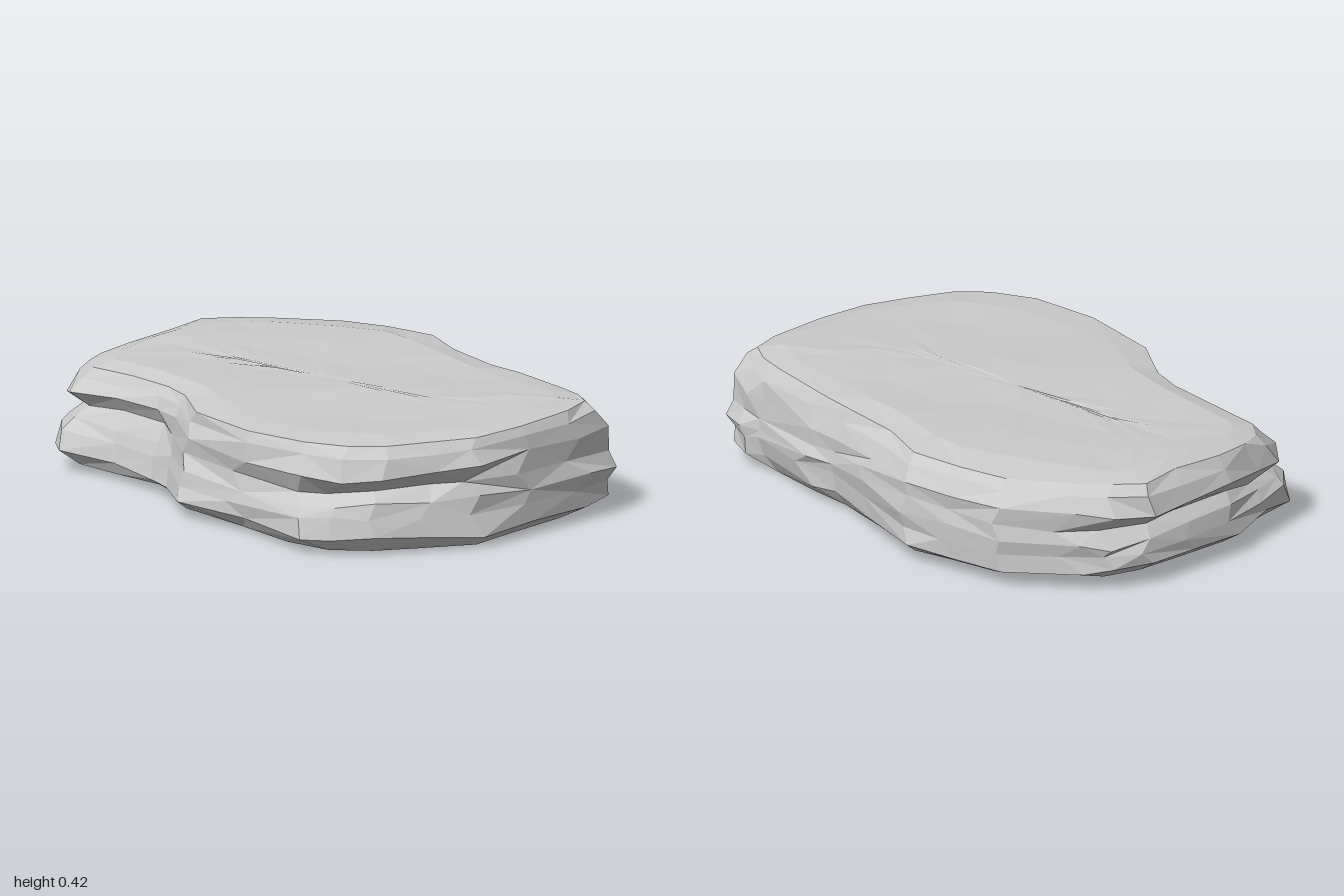
import * as THREE from 'three';

// Widest outline (low ledge) and top rim, matched point by point as [x, z]: left, back, right, front
const ledge = [
  [-1, 0.06], [-0.98, -0.15], [-0.95, -0.36], [-0.88, -0.51], [-0.8, -0.58], [-0.53, -0.73], [-0.33, -0.75],
  [-0.13, -0.77], [0.13, -0.67], [0.38, -0.57], [0.49, -0.56], [0.8, -0.46], [0.87, -0.47], [0.98, -0.42],
  [1, -0.26], [0.98, 0.02], [0.96, 0.27], [0.88, 0.42], [0.74, 0.62], [0.62, 0.72], [0.52, 0.77], [0.2, 0.7],
  [-0.13, 0.68], [-0.3, 0.54], [-0.42, 0.48], [-0.62, 0.45], [-0.85, 0.49], [-0.94, 0.4], [-0.96, 0.25],
];
const rim = [
  [-0.94, 0.03], [-0.92, -0.18], [-0.92, -0.36], [-0.84, -0.46], [-0.74, -0.53], [-0.52, -0.66], [-0.33, -0.69],
  [-0.12, -0.71], [0.06, -0.61], [0.3, -0.54], [0.45, -0.52], [0.74, -0.44], [0.85, -0.4], [0.92, -0.34],
  [0.95, -0.22], [0.94, 0.02], [0.92, 0.24], [0.84, 0.38], [0.74, 0.54], [0.65, 0.63], [0.48, 0.69], [0.24, 0.7],
  [-0.11, 0.61], [-0.28, 0.46], [-0.4, 0.41], [-0.6, 0.37], [-0.83, 0.34], [-0.91, 0.28], [-0.93, 0.18],
];

// Wall layers: height, blend from ledge to rim at the back and at the front, scale,
// depth of the groove, height jitter, inward jitter, sideways stagger
const walls = [
  { y: 0.015, back: 0.5, front: 0.1, scale: 0.95, groove: 0, bump: 0.006, dent: 0.03, shift: 0.3 },
  { y: 0.06, back: 0.2, front: 0, scale: 0.995, groove: 0, bump: 0.018, dent: 0.012, shift: 0 },
  { y: 0.12, back: 0.1, front: 0.15, scale: 1, groove: 0, bump: 0.022, dent: 0.025, shift: 0.35 },
  { y: 0.17, back: 0, front: 0.35, scale: 1, groove: 0.01, bump: 0.022, dent: 0.02, shift: 0.15 },
  { y: 0.22, back: 0.1, front: 0.5, scale: 1, groove: 0.045, bump: 0.022, dent: 0.03, shift: 0.4 },
  { y: 0.28, back: 0.2, front: 0.55, scale: 1, groove: -0.02, bump: 0.022, dent: 0.025, shift: 0.1 },
  { y: 0.34, back: 0.65, front: 0.85, scale: 1, groove: -0.01, bump: 0.014, dent: 0.02, shift: 0.3 },
  { y: 0.38, back: 1, front: 1, scale: 0.985, groove: 0, bump: 0.006, dent: 0.02, shift: 0.1 },
];

// Top face rings, drawn in toward a long middle line: x scale, z scale
const topRings = [[0.9, 0.82], [0.78, 0.52], [0.66, 0.24], [0.5, 0.04]];

function seeded(seed) {
  return () => {
    seed = (seed * 16807) % 2147483647;
    return seed / 2147483647;
  };
}

// Point on an outline, a fraction of the way from corner i to the next
function along(outline, i, t) {
  const [x0, z0] = outline[i];
  const [x1, z1] = outline[(i + 1) % outline.length];
  return new THREE.Vector2(x0 + (x1 - x0) * t, z0 + (z1 - z0) * t);
}

// Gently uneven top, highest at the back of +x
function topHeight(x, z) {
  return 0.395 + 0.014 * x * Math.abs(x) - 0.016 * z + 0.004 * Math.sin(4 * x + 9 * z);
}

function slabGeometry() {
  const random = seeded(4217);
  const n = ledge.length;
  const positions = [0, 0.015, 0];
  const index = [];

  walls.forEach((layer, k) => {
    for (let i = 0; i < n; i++) {
      const [lx, lz] = ledge[i];
      const frontness = THREE.MathUtils.smoothstep(lz, -0.35, 0.3);
      const leftness = THREE.MathUtils.smoothstep(-lx, 0.6, 0.9);
      const t = layer.shift * random();
      const blend = THREE.MathUtils.lerp(layer.back, layer.front, frontness);
      const p = along(ledge, i, t).lerp(along(rim, i, t), blend);
      // the groove is deepest along the front and left, and comes and goes
      const groove = layer.groove * Math.max(frontness, leftness) * (0.65 + 0.6 * Math.sin(i * 0.8));
      p.multiplyScalar(layer.scale - groove - layer.dent * random());
      const height = layer.y / 0.38;
      const lean = height * (topHeight(p.x, p.y) - 0.395) - (1 - height) * 0.017 * p.x;
      const wave = layer.bump * (0.6 * Math.sin(i * 0.7 + k * 0.8) + 1.2 * (random() - 0.5));
      positions.push(p.x, layer.y + lean + wave, p.y);
    }
  });

  topRings.forEach(([sx, sz]) => {
    for (let i = 0; i < n; i++) {
      const p = along(rim, i, 0.5 * random());
      const x = p.x * sx;
      const z = p.y * sz * (0.93 + 0.07 * random());
      positions.push(x, topHeight(x, z) + 0.005 * (random() - 0.5), z);
    }
  });
  const last = positions.length / 3;
  positions.push(0, topHeight(0, 0), 0);

  // Fans close the underside and top; mixed diagonals break up the walls
  const rows = walls.length + topRings.length - 1;
  for (let i = 0; i < n; i++) {
    const j = (i + 1) % n;
    index.push(0, 1 + i, 1 + j);
    for (let k = 0; k < rows; k++) {
      const a = 1 + k * n + i, b = 1 + k * n + j, c = a + n, d = b + n;
      if (random() < 0.5) index.push(a, c, b, b, c, d);
      else index.push(a, c, d, a, d, b);
    }
    const t = 1 + rows * n;
    index.push(last, t + j, t + i);
  }

  const geometry = new THREE.BufferGeometry();
  geometry.setAttribute('position', new THREE.Float32BufferAttribute(positions, 3));
  geometry.setIndex(index);
  const faceted = geometry.toNonIndexed();
  faceted.computeVertexNormals();
  return faceted;
}

export function createModel() {
  const group = new THREE.Group();
  group.name = 'flatRock';
  const material = new THREE.MeshStandardMaterial({ color: 0xcccccc, flatShading: true });
  const slab = new THREE.Mesh(slabGeometry(), material);
  slab.name = 'stoneSlab';
  group.add(slab);
  return group;
}
